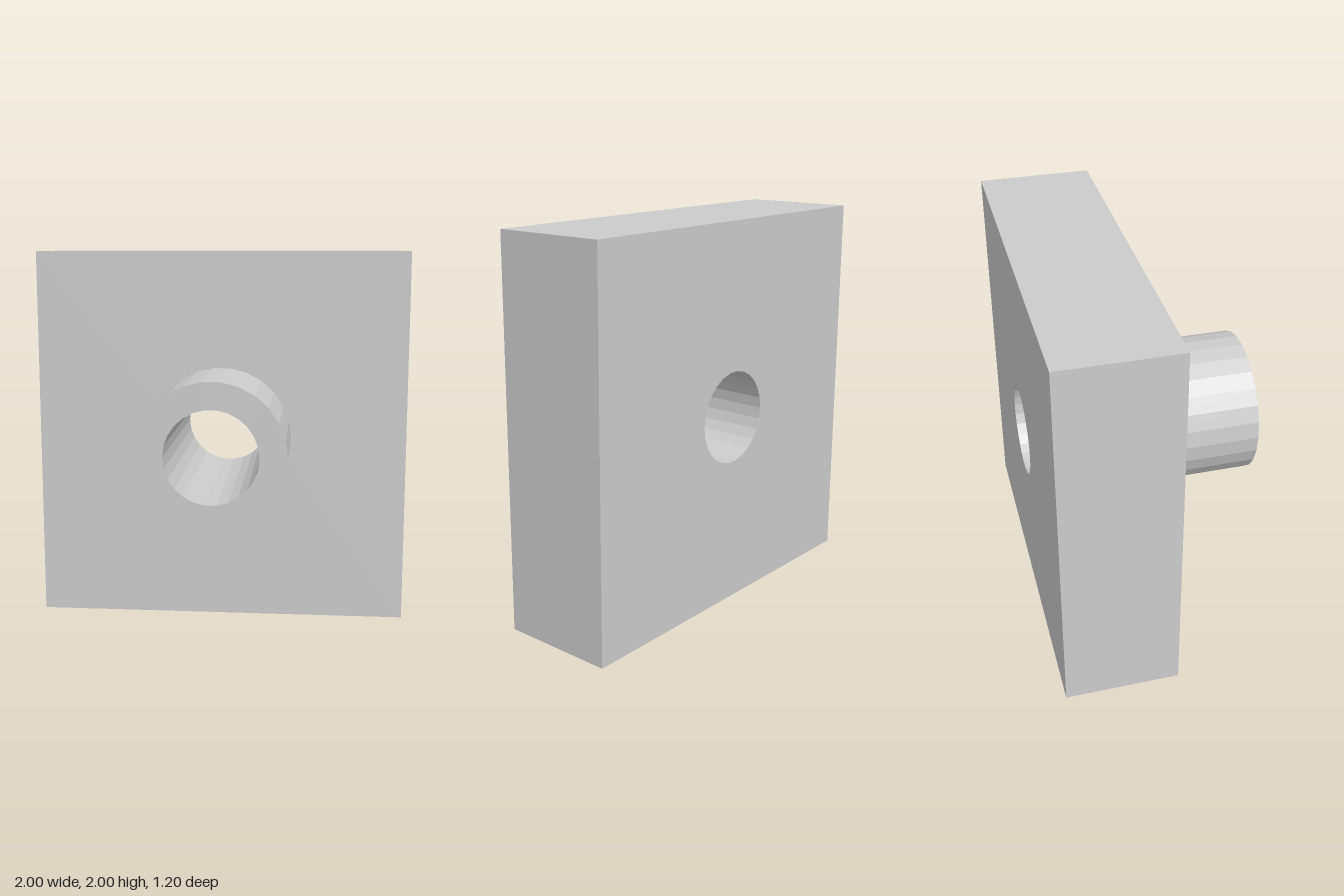
import * as THREE from 'three';

const SIDES = 26, OUTER = 0.38, BORE = 0.24, DEPTH = 0.6;

// Regular polygon outline with a corner on the +x axis
function ring(radius) {
  return Array.from({ length: SIDES }, (_, i) => {
    const a = (i / SIDES) * Math.PI * 2;
    return new THREE.Vector2(Math.cos(a) * radius, Math.sin(a) * radius);
  });
}

// Extrudes an outline, pierced by the bore, forward from startZ
function boredPart(name, outline, startZ, material) {
  const shape = new THREE.Shape(outline);
  shape.holes.push(new THREE.Path(ring(BORE)));
  const geometry = new THREE.ExtrudeGeometry(shape, { depth: DEPTH, bevelEnabled: false });
  const mesh = new THREE.Mesh(geometry, material);
  mesh.name = name;
  mesh.position.set(0, 1, startZ);
  return mesh;
}

export function createModel() {
  const group = new THREE.Group();
  group.name = 'flangedBushing';
  const material = new THREE.MeshStandardMaterial({ color: 0xcccccc, flatShading: true });

  // Square mounting plate with a through hole
  const square = [[-1, -1], [1, -1], [1, 1], [-1, 1]].map(([x, y]) => new THREE.Vector2(x, y));
  group.add(boredPart('plate', square, -DEPTH, material));

  // Hollow collar standing out from the front of the plate
  group.add(boredPart('collar', ring(OUTER), 0, material));

  return group;
}
